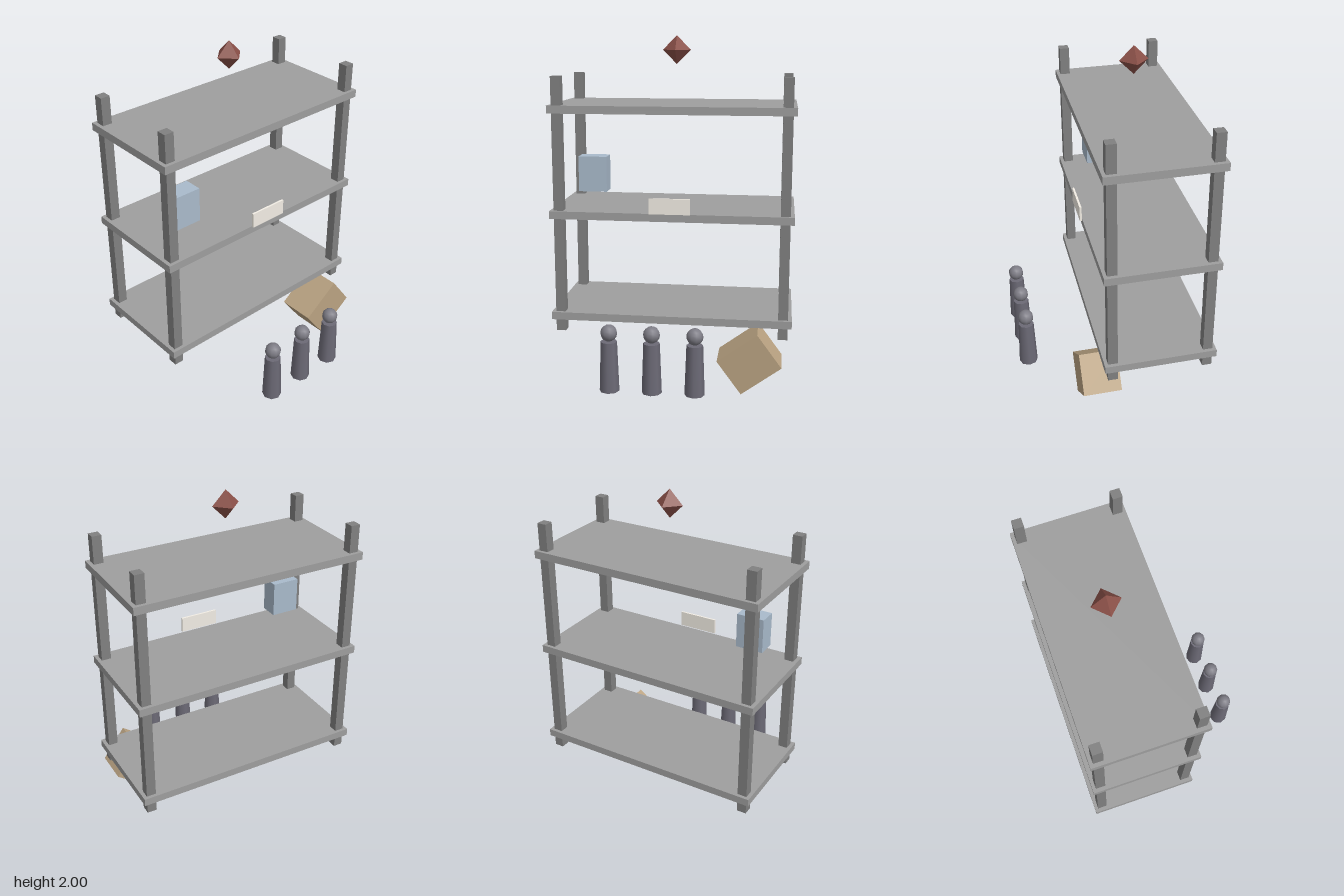
import * as THREE from 'three';

const mat = (color) => new THREE.MeshStandardMaterial({ color });

export function createModel() {
  const model = new THREE.Group();
  model.name = 'marketRack';

  // Everything is laid out square to the rack, which is turned as a whole
  const layout = new THREE.Group();
  layout.name = 'layout';
  layout.position.set(-0.012, 0, -0.0575);
  layout.rotation.y = THREE.MathUtils.degToRad(36);
  model.add(layout);

  const add = (name, geometry, material, x, y, z, parent = layout) => {
    const mesh = new THREE.Mesh(geometry, material);
    mesh.name = name;
    mesh.position.set(x, y, z);
    parent.add(mesh);
    return mesh;
  };

  // Three shelves
  const shelfGeo = new THREE.BoxGeometry(1.4, 0.045, 0.65);
  const shelfMat = mat(0x9e9e9e);
  for (let i = 0; i < 3; i++) add('shelf', shelfGeo, shelfMat, 0, 0.381 + i * 0.605, 0);

  // Four corner posts
  const postGeo = new THREE.BoxGeometry(0.056, 1.49, 0.056);
  const postMat = mat(0x808080);
  for (const x of [-0.65, 0.65])
    for (const z of [-0.277, 0.277]) add('post', postGeo, postMat, x, 1.031, z);

  // Goods on the middle shelf: blue package and thin label plate
  add('package', new THREE.BoxGeometry(0.165, 0.205, 0.11), mat(0xa9bacb), -0.468, 1.209, 0.143);
  add('labelPlate', new THREE.BoxGeometry(0.233, 0.09, 0.012), mat(0xf2ede4), 0, 1.055, 0.336);

  // Tipped crate balanced on one edge
  const crate = add('crate', new THREE.BoxGeometry(0.281, 0.235, 0.222), mat(0xbaa382), 0.465, 0.178, 0.329);
  crate.rotation.z = THREE.MathUtils.degToRad(36.4);

  // Row of three simple figures
  const figureMat = mat(0x6c6a76);
  const headMat = mat(0x7e7d86);
  const bodyGeo = new THREE.CylinderGeometry(0.045, 0.055, 0.28, 8);
  const headGeo = new THREE.SphereGeometry(0.046, 10, 8);
  for (let i = -1; i <= 1; i++) {
    const figure = new THREE.Group();
    figure.name = 'figure';
    figure.position.set(-0.048 + i * 0.233, 0.101, 0.7);
    layout.add(figure);
    add('body', bodyGeo, figureMat, 0, 0.14, 0, figure);
    add('head', headGeo, headMat, 0, 0.327, 0, figure);
  }

  // Floating marker above the rack
  const markerMat = mat(0x8a5048);
  markerMat.flatShading = true;
  add('marker', new THREE.OctahedronGeometry(0.082), markerMat, 0, 1.918, 0);

  return model;
}
